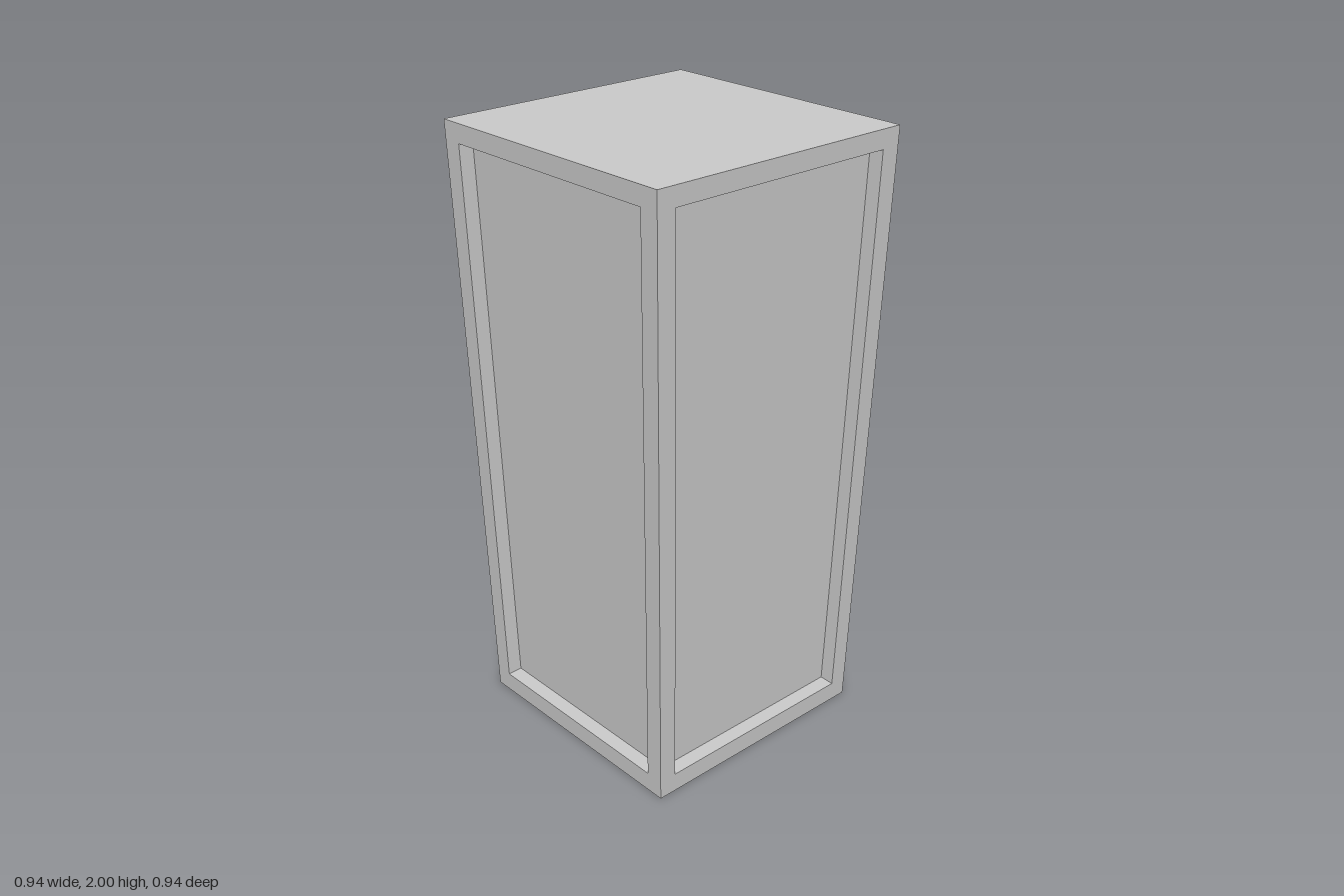
import * as THREE from 'three';

const BOTTOM = 0.422, TOP = 0.472, HEIGHT = 2, DEPTH = 0.05;
const halfAt = (y) => BOTTOM + (TOP - BOTTOM) * y / HEIGHT;

// Flat-shaded geometry from quads, corners counter-clockwise
function quads(list) {
  const pos = [];
  for (const [a, b, c, d] of list) {
    for (const p of [a, b, c, a, c, d]) pos.push(p.x, p.y, p.z);
  }
  const geo = new THREE.BufferGeometry();
  geo.setAttribute('position', new THREE.Float32BufferAttribute(pos, 3));
  geo.computeVertexNormals();
  return geo;
}

// Four corners of a trapezoid lying on the sloping front face
function trapezoid(y0, w0, y1, w1) {
  return [[-w0, y0], [w0, y0], [w1, y1], [-w1, y1]]
    .map(([x, y]) => new THREE.Vector3(x, y, halfAt(y)));
}

// Quads joining one four-cornered ring to the next
const bridge = (outer, inner) => outer.map((p, i) => {
  const j = (i + 1) % 4;
  return [p, outer[j], inner[j], inner[i]];
});

export function createModel() {
  const group = new THREE.Group();
  group.name = 'taperedPillar';
  const material = new THREE.MeshStandardMaterial({ color: 0xcccccc, flatShading: true });
  const add = (parent, name, geo) => {
    const mesh = new THREE.Mesh(geo, material);
    mesh.name = name;
    parent.add(mesh);
  };

  // Border, step and sunken panel shared by all four sides
  const outer = trapezoid(0, BOTTOM, HEIGHT, TOP);
  const inner = trapezoid(0.065, 0.363, 1.938, 0.405);
  const inward = new THREE.Vector3(0, (TOP - BOTTOM) / HEIGHT, -1).setLength(DEPTH);
  const sunk = inner.map((p) => p.clone().add(inward));
  const frameGeo = quads(bridge(outer, inner));
  const revealGeo = quads(bridge(inner, sunk));
  const panelGeo = quads([sunk]);

  ['front', 'left', 'back', 'right'].forEach((name, i) => {
    const side = new THREE.Group();
    side.name = name + 'Side';
    side.rotation.y = i * Math.PI / 2;
    add(side, 'frame', frameGeo);
    add(side, 'recessEdge', revealGeo);
    add(side, 'panel', panelGeo);
    group.add(side);
  });

  // Closing squares
  const square = (h, y) => [[-h, h], [h, h], [h, -h], [-h, -h]]
    .map(([x, z]) => new THREE.Vector3(x, y, z));
  add(group, 'top', quads([square(TOP, HEIGHT)]));
  add(group, 'base', quads([square(BOTTOM, 0).reverse()]));
  return group;
}
